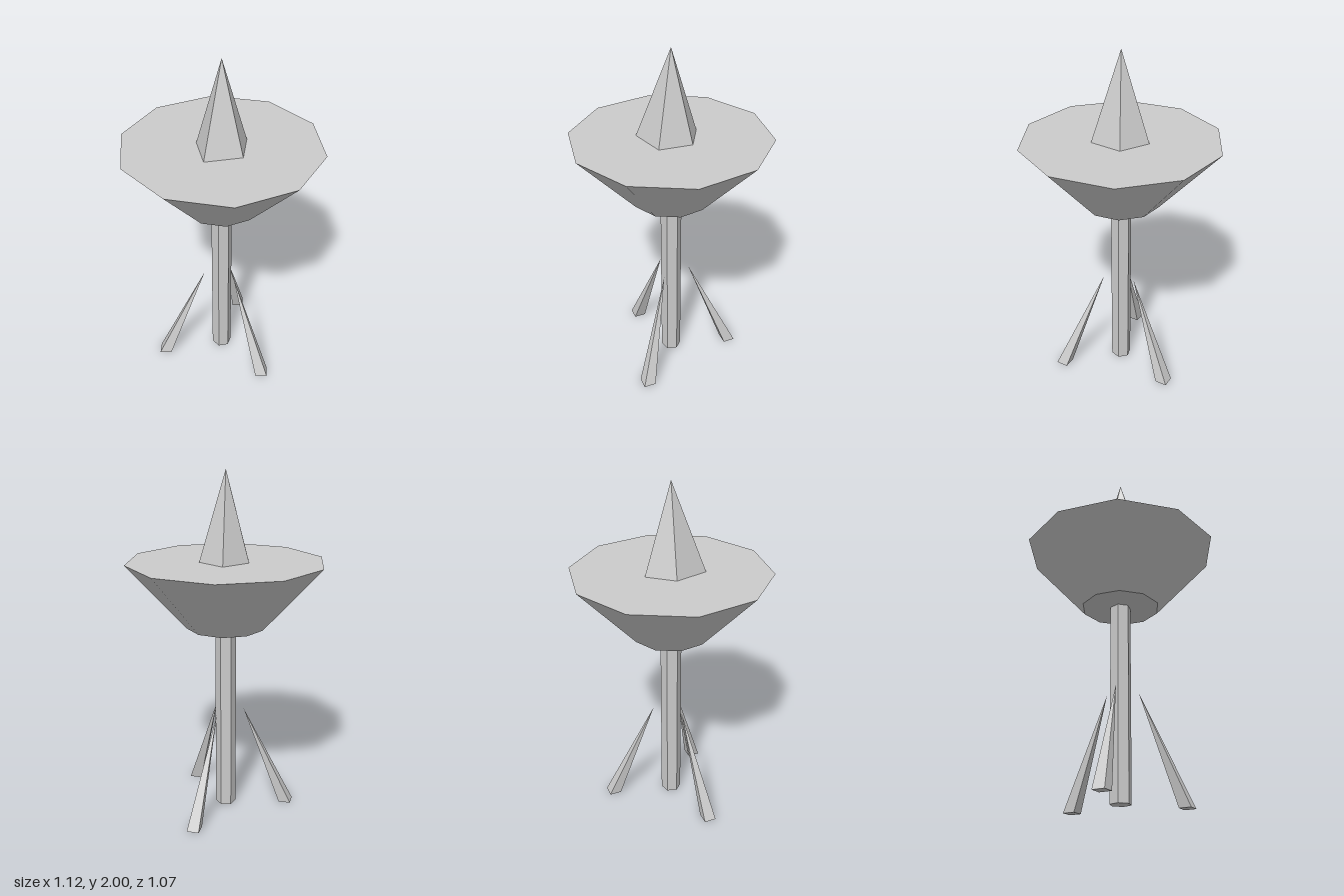
import * as THREE from 'three';
import { ConvexGeometry } from 'three/addons/geometries/ConvexGeometry.js';

const material = new THREE.MeshStandardMaterial({ color: 0xcccccc, flatShading: true });

function add(group, name, geometry) {
  const mesh = new THREE.Mesh(geometry, material);
  mesh.name = name;
  group.add(mesh);
  return mesh;
}

// Prism or frustum standing on y0, with a corner pointing along +x
function frustum(rTop, rBottom, y0, y1, sides) {
  return new THREE.CylinderGeometry(rTop, rBottom, y1 - y0, sides, 1, false, Math.PI / 2)
    .translate(0, (y0 + y1) / 2, 0);
}

// Four-sided spike whose tip is sheared in towards the pole
function legGeometry(angle) {
  const height = 0.62, footRadius = 0.37, tipRadius = 0.105;
  const c = Math.cos(angle), s = Math.sin(angle);
  const lean = (tipRadius - footRadius) / height;
  const shear = new THREE.Matrix4().set(
    1, lean * c, 0, footRadius * c,
    0, 1, 0, 0,
    0, lean * s, 1, footRadius * s,
    0, 0, 0, 1
  );
  return new THREE.ConeGeometry(0.05, height, 4).translate(0, height / 2, 0).applyMatrix4(shear);
}

export function createModel() {
  const model = new THREE.Group();
  model.name = 'pedestalBowl';

  add(model, 'pole', frustum(0.06, 0.06, 0, 1.13, 6));
  add(model, 'bowl', frustum(0.56, 0.225, 1.13, 1.505, 10));

  // Uneven five-sided crystal on top
  const base = [[0.167, 0], [0.045, -0.143], [-0.13, -0.096], [-0.113, 0.081], [0.06, 0.18]];
  const points = base.map(([x, z]) => new THREE.Vector3(x, 1.505, z));
  points.push(new THREE.Vector3(0, 2, 0));
  add(model, 'crystal', new ConvexGeometry(points));

  // Three legs around the pole
  for (let i = 0; i < 3; i++) {
    add(model, `leg${i + 1}`, legGeometry(i * Math.PI * 2 / 3));
  }

  return model;
}
